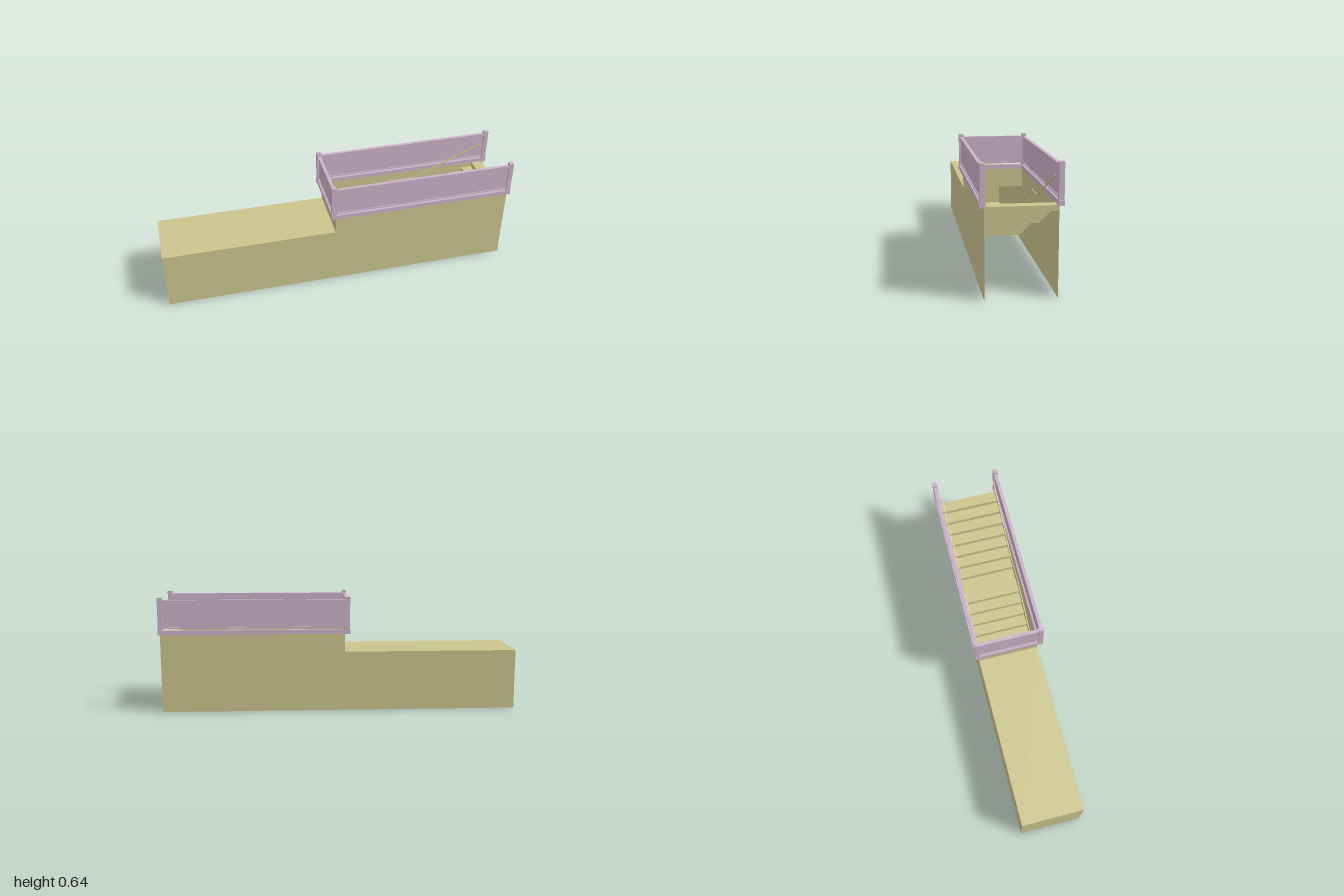
import * as THREE from 'three';

const stone = new THREE.MeshStandardMaterial({ color: 0xcbc48e, side: THREE.DoubleSide, flatShading: true });
const painted = new THREE.MeshStandardMaterial({ color: 0xcbb2c9, flatShading: true });

const HALF = 0.173;   // half width of the passage
const FLOOR = 0.03, ROOF = 0.335, GROUND = 0.44;
const RISE = (GROUND - FLOOR) / 15;

function add(parent, name, geometry, material) {
  const mesh = new THREE.Mesh(geometry, material);
  mesh.name = name;
  parent.add(mesh);
  return mesh;
}

// Box given by its lower and upper limits
function block(parent, name, x0, x1, y0, y1, z0, z1, material = painted) {
  const mesh = add(parent, name, new THREE.BoxGeometry(x1 - x0, y1 - y0, z1 - z0), material);
  mesh.position.set((x0 + x1) / 2, (y0 + y1) / 2, (z0 + z1) / 2);
  return mesh;
}

// Thin sheet following a side profile across the whole width
function sheet(parent, name, profile) {
  const position = [], index = [];
  for (let i = 0; i + 1 < profile.length; i++) {
    const [ax, ay] = profile[i], [bx, by] = profile[i + 1];
    position.push(ax, ay, HALF, bx, by, HALF, bx, by, -HALF, ax, ay, -HALF);
    const k = i * 4;
    index.push(k, k + 1, k + 2, k, k + 2, k + 3);
  }
  const geometry = new THREE.BufferGeometry();
  geometry.setAttribute('position', new THREE.Float32BufferAttribute(position, 3));
  geometry.setIndex(index);
  geometry.computeVertexNormals();
  return add(parent, name, geometry, stone);
}

function createPassage() {
  const passage = new THREE.Group();
  passage.name = 'passage';

  // Stepped side walls
  const outline = new THREE.Shape([
    [-1, 0], [0.99, 0], [0.99, GROUND], [-0.033, GROUND], [-0.033, ROOF], [-1, ROOF],
  ].map(([x, y]) => new THREE.Vector2(x, y)));
  for (const s of [1, -1]) {
    const wall = add(passage, s > 0 ? 'frontWall' : 'backWall', new THREE.ShapeGeometry(outline), stone);
    wall.position.z = s * HALF;
    if (s < 0) {
      wall.geometry.scale(-1, 1, 1);
      wall.rotation.y = Math.PI;
    }
  }

  // Roof with the end wall and the upright face under the railing
  sheet(passage, 'roof', [[-0.033, GROUND], [-0.033, ROOF], [-1, ROOF]]);
  sheet(passage, 'endWall', [[-1, ROOF], [-1, FLOOR], [-1, 0]]);

  // Floor and two flights with a landing between them
  sheet(passage, 'floor', [[-1, FLOOR], [-0.066, FLOOR]]);
  const profile = [[-0.066, FLOOR]];
  let y = FLOOR;
  const flight = (start, risers, tread, last) => {
    for (let i = 0; i < risers; i++) {
      const x = start + i * tread;
      y += RISE;
      profile.push([x, y], [i === risers - 1 ? last : x + tread, y]);
    }
  };
  flight(-0.066, 8, 0.0629, 0.53);
  flight(0.53, 7, 0.0633, 0.973);
  profile.push([0.973, GROUND - RISE]);
  sheet(passage, 'stairs', profile);
  return passage;
}

// Sloping handrails, level along the landing
function createHandrail(name, z) {
  const rail = new THREE.Group();
  rail.name = name;
  const path = [[-0.066, 0.205], [0.374, 0.395], [0.53, 0.395], [0.952, 0.578]];
  for (let i = 0; i < 3; i++) {
    const [ax, ay] = path[i], [bx, by] = path[i + 1];
    const bar = add(rail, 'handrailBar',
      new THREE.BoxGeometry(Math.hypot(bx - ax, by - ay) + 0.002, 0.009, 0.005), stone);
    bar.position.set((ax + bx) / 2, (ay + by) / 2, z);
    bar.rotation.z = Math.atan2(by - ay, bx - ax);
  }
  return rail;
}

function createRailing() {
  const railing = new THREE.Group();
  railing.name = 'railing';
  // Layers of one side: name, bottom, top, half thickness
  const layers = [
    ['base', GROUND, 0.464, 0.0115],
    ['bottomRail', 0.473, 0.48, 0.008],
    ['panel', 0.48, 0.612, 0.003],
    ['middleRail', 0.612, 0.626, 0.006],
    ['topRail', 0.626, 0.631, 0.009],
  ];
  const mid = 0.182, xBack = -0.046, xOpen = 0.983;
  for (const [name, y0, y1, t] of layers) {
    for (const s of [1, -1]) block(railing, name, xBack, xOpen, y0, y1, s * mid - t, s * mid + t);
    block(railing, name, xBack - t, xBack + t, y0, y1, -mid, mid);
  }
  // Corner posts on wider feet
  for (const x of [xBack, xOpen]) {
    for (const s of [1, -1]) {
      const z = s * mid;
      block(railing, 'post', x - 0.013, x + 0.013, GROUND, 0.645, z - 0.013, z + 0.013);
      block(railing, 'postFoot', x - 0.015, x + 0.015, GROUND, 0.465, z - 0.015, z + 0.015);
    }
  }
  return railing;
}

export function createModel() {
  const model = new THREE.Group();
  model.name = 'undergroundEntrance';
  model.add(createPassage(), createRailing(),
    createHandrail('frontHandrail', 0.164), createHandrail('backHandrail', -0.157));
  return model;
}
